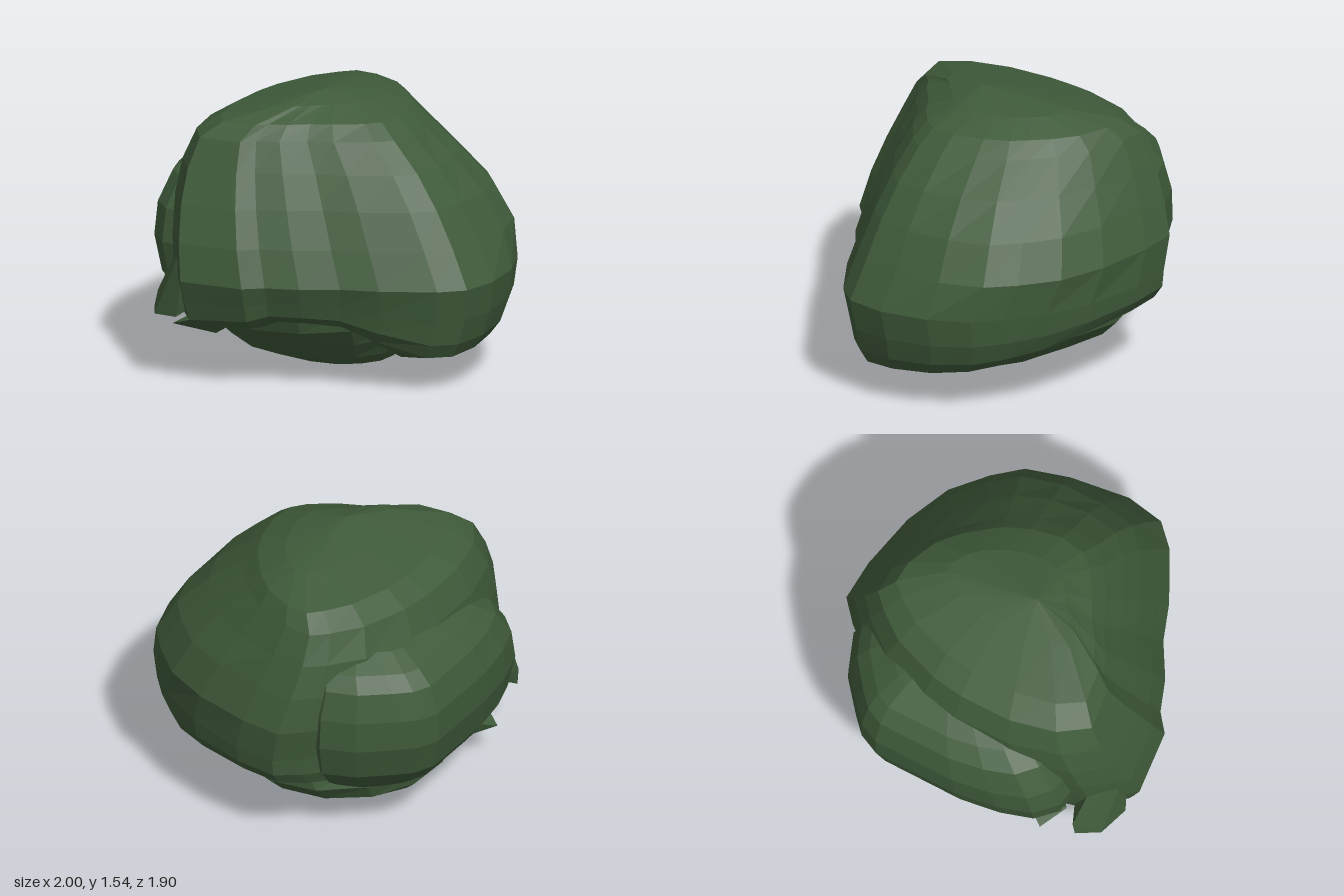
import * as THREE from 'three';
import { ConvexGeometry } from 'three/addons/geometries/ConvexGeometry.js';

const foliage = new THREE.MeshStandardMaterial({ color: 0x3f5a3a, flatShading: true });

// Stacks one outline (x, z in -1..1, optional rim lift) into a closed faceted lobe.
// Each level is [y, xMin, xMax, zMin, zMax]; the first and last collapse to a point.
// The rim lift fades out at y = 0.6; bulge fills the left-back corner at mid height and trims it on top.
function lobe(name, outline, levels, bulge = 0) {
  const pos = [], index = [], n = outline.length, last = levels.length - 2;
  for (const [y, x0, x1, z0, z1] of levels) {
    const fade = Math.max(0, 1 - y / 0.6);
    const swell = y > 0.6 ? bulge * Math.sin(Math.PI * (y - 0.6) / 0.6) : 0;
    for (const [u, w, lift = 0] of outline) {
      const s = u > 0 && w < 0 ? 1 - swell * u * w : 1;
      pos.push((x0 + x1) / 2 + s * u * (x1 - x0) / 2, y + lift * fade, (z0 + z1) / 2 + s * w * (z1 - z0) / 2);
    }
  }
  for (let r = 0; r <= last; r++) {
    for (let i = 0; i < n; i++) {
      const a = r * n + i, b = r * n + (i + 1) % n;
      if (r > 0) index.push(a, a + n, b);
      if (r < last) index.push(b, a + n, b + n);
    }
  }
  const geo = new THREE.BufferGeometry();
  geo.setAttribute('position', new THREE.Float32BufferAttribute(pos, 3));
  geo.setIndex(index);
  geo.computeVertexNormals();
  const mesh = new THREE.Mesh(geo, foliage);
  mesh.name = name;
  return mesh;
}

export function createModel() {
  const group = new THREE.Group();
  group.name = 'bush';

  // Main canopy: pointed to one side, flat diagonal at the front, wavy lower rim
  const canopyOutline = [
    [-0.5, -1, 0.28], [-0.22, -1, 0.28], [0.17, -0.92, 0.24], [0.46, -0.79, 0.16], [0.67, -0.63, 0.1],
    [0.82, -0.49, 0.07], [0.94, -0.26, 0.04], [1, 0.02, 0.02], [0.97, 0.25, 0], [0.84, 0.38, 0],
    [0.53, 0.55, 0.13], [0.3, 0.64, 0.24], [0.09, 0.77, 0.27], [-0.11, 0.85, 0.27], [-0.22, 0.94, 0.22],
    [-0.63, 1, 0.17], [-0.84, 0.78, 0.15], [-0.97, 0.42, 0.15], [-1, 0, 0.15], [-0.97, -0.27, 0.18],
    [-0.83, -0.65, 0.22], [-0.64, -0.88, 0.25],
  ];
  group.add(lobe('canopy', canopyOutline, [
    [0.25, 0, 0, 0, 0],
    [0.14, -0.5, 0.6, -0.5, 0.5],
    [0.2, -0.67, 0.88, -0.78, 0.8],
    [0.28, -0.71, 0.93, -0.88, 0.88],
    [0.42, -0.73, 0.97, -0.93, 0.91],
    [0.6, -0.74, 1, -0.94, 0.95],
    [0.8, -0.76, 0.89, -0.95, 0.91],
    [1, -0.77, 0.77, -0.88, 0.84],
    [1.18, -0.75, 0.63, -0.8, 0.76],
    [1.34, -0.68, 0.46, -0.72, 0.68],
    [1.42, -0.55, 0.36, -0.65, 0.59],
    [1.49, -0.26, 0.18, -0.43, 0.36],
    [1.54, -0.05, -0.05, 0.08, 0.08],
  ], 0.2));

  // Lower rounded lobe pressed against the canopy's side
  const sideOutline = [
    [0, -0.98], [0.5, -0.8], [0.95, -0.3], [1, 0.2], [0.7, 0.7], [0.2, 1], [-0.45, 0.96], [-0.7, 0.82],
    [-0.85, 0.57], [-0.95, 0.26], [-1, -0.39], [-0.9, -0.55], [-0.72, -0.67], [-0.38, -0.87],
  ];
  group.add(lobe('sideLobe', sideOutline, [
    [0.24, -0.4, -0.4, -0.05, -0.05],
    [0.28, -0.74, -0.2, -0.54, 0.46],
    [0.38, -0.86, -0.1, -0.67, 0.58],
    [0.5, -0.95, -0.06, -0.77, 0.65],
    [0.7, -1, -0.05, -0.82, 0.67],
    [0.88, -1, -0.05, -0.81, 0.63],
    [1.04, -0.95, -0.1, -0.76, 0.52],
    [1.12, -0.87, -0.12, -0.7, 0.4],
    [1.19, -0.74, -0.18, -0.58, 0.22],
    [1.28, -0.42, -0.42, -0.25, -0.25],
  ]));

  // Shallow bowl it stands on
  const bowlOutline = [];
  for (let i = 0; i < 14; i++) {
    const a = (i / 14) * Math.PI * 2;
    bowlOutline.push([Math.sin(a), -Math.cos(a)]);
  }
  group.add(lobe('base', bowlOutline, [
    [0, -0.01, -0.01, -0.2, -0.2],
    [0.04, -0.36, 0.28, -0.32, 0.24],
    [0.1, -0.62, 0.34, -0.45, 0.39],
    [0.2, -0.72, 0.41, -0.64, 0.53],
    [0.3, -0.74, 0.45, -0.74, 0.65],
    [0.42, -0.68, 0.45, -0.76, 0.7],
    [0.5, -0.1, -0.1, 0, 0],
  ]));

  // Small clumps sticking out at the front corner
  const clumps = {
    upperClump: [
      [-0.73, 0.36, 0.73], [-0.72, 0.45, 0.71], [-0.65, 0.36, 0.85], [-0.48, 0.38, 0.9],
      [-0.57, 0.72, 0.74], [-0.42, 0.87, 0.87], [-0.5, 0.4, 0.6],
    ],
    lowerClump: [
      [-0.75, 0.21, 0.52], [-0.6, 0.27, 0.6], [-0.58, 0.14, 0.35], [-0.62, 0.3, 0.3], [-0.4, 0.25, 0.4],
    ],
  };
  for (const [name, points] of Object.entries(clumps)) {
    const mesh = new THREE.Mesh(new ConvexGeometry(points.map((p) => new THREE.Vector3(...p))), foliage);
    mesh.name = name;
    group.add(mesh);
  }
  return group;
}
